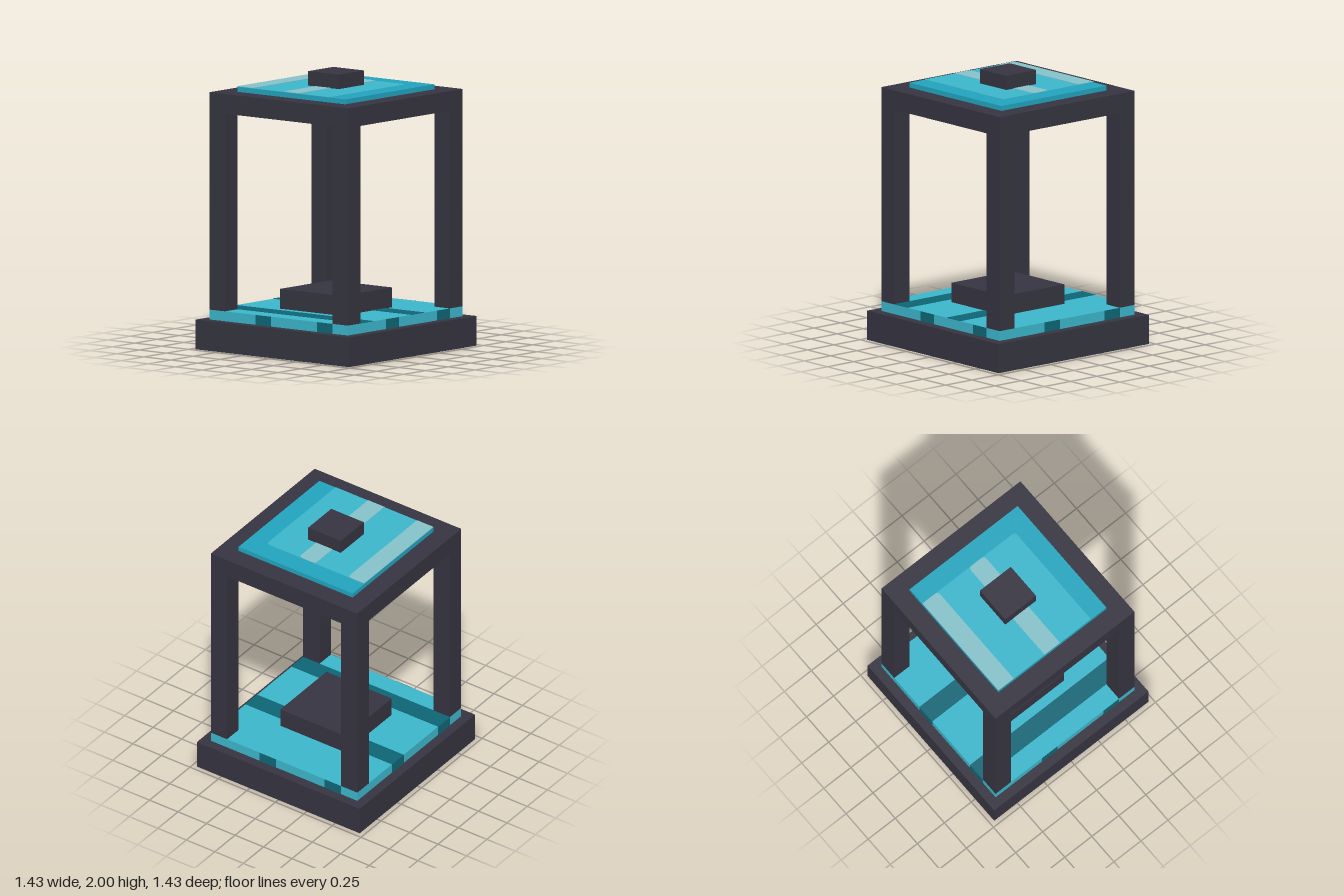
import * as THREE from 'three';

const mat = (name, color) => {
  const m = new THREE.MeshStandardMaterial({ color });
  m.name = name;
  return m;
};

export function createModel() {
  const frame = mat('dark frame', 0x353440);
  const teal = mat('teal', 0x3bb5ca);
  const deepTeal = mat('deep teal', 0x22a3bd);
  const darkTeal = mat('dark teal', 0x0f6575);
  const paleTeal = mat('pale teal', 0x86c1c9);

  const U = 1 / 14; // module unit that all parts are multiples of
  const SKIN = 0.003; // thickness of painted details
  const model = new THREE.Group();
  model.name = 'lantern';

  const add = (parent, name, geometry, material) => {
    const mesh = new THREE.Mesh(geometry, material);
    mesh.name = name;
    parent.add(mesh);
    return mesh;
  };
  // Box given by its two corners
  const box = (parent, name, material, x0, x1, y0, y1, z0, z1) => {
    const mesh = add(parent, name, new THREE.BoxGeometry(x1 - x0, y1 - y0, z1 - z0), material);
    mesh.position.set((x0 + x1) / 2, (y0 + y1) / 2, (z0 + z1) / 2);
    return mesh;
  };
  // Square block centred on the vertical axis
  const block = (name, material, half, y0, y1) =>
    box(model, name, material, -half, half, y0, y1, -half, half);

  // Base, floor plate, burner, knob
  block('base', frame, 10 * U, 0, 3 * U);
  block('floorPlate', teal, 9 * U, 3 * U, 4 * U);
  block('burner', frame, 4 * U, 4 * U, 6 * U);
  block('knob', frame, 2 * U, 26.5 * U, 28 * U);

  // Dark stripes across the floor
  for (const x of [-7, 1]) {
    box(model, 'floorStripe', darkTeal, x * U, (x + 2) * U, 4 * U, 4 * U + SKIN, -9 * U, 9 * U);
  }
  // Dark patches on the four floor edges
  for (let i = 0; i < 4; i++) {
    const side = new THREE.Group();
    side.name = 'floorEdge';
    side.rotation.y = i * Math.PI / 2;
    for (const x of [-3, 5]) {
      box(side, 'edgePatch', darkTeal, x * U, (x + 2) * U, 3 * U, 4 * U, 9 * U, 9 * U + SKIN);
    }
    model.add(side);
  }

  // Corner posts
  for (const x of [-8, 8]) {
    for (const z of [-8, 8]) {
      box(model, 'post', frame, (x - 1) * U, (x + 1) * U, 4 * U, 24 * U, (z - 1) * U, (z + 1) * U);
    }
  }

  // Top frame with a square opening
  const square = (Type, h) => {
    const p = new Type();
    p.moveTo(-h, -h).lineTo(h, -h).lineTo(h, h).lineTo(-h, h).closePath();
    return p;
  };
  const ring = square(THREE.Shape, 9 * U);
  ring.holes.push(square(THREE.Path, 7 * U));
  const ringGeo = new THREE.ExtrudeGeometry(ring, { depth: 2 * U, bevelEnabled: false });
  ringGeo.rotateX(-Math.PI / 2);
  add(model, 'topFrame', ringGeo, frame).position.y = 24 * U;

  // Lid pane
  block('lid', deepTeal, 7 * U, 26 * U, 26.5 * U);

  // Flat panel from the left edge, right corners optionally rounded
  const panel = (parent, name, material, z0, z1, y, roundBack) => {
    const x0 = -7 * U, x1 = 5 * U, r = 0.03, rb = roundBack ? r : 0;
    const s = new THREE.Shape();
    s.moveTo(x0, -z1).lineTo(x1 - r, -z1);
    s.quadraticCurveTo(x1, -z1, x1, -z1 + r);
    s.lineTo(x1, -z0 - rb);
    if (rb) s.quadraticCurveTo(x1, -z0, x1 - r, -z0);
    s.lineTo(x0, -z0);
    s.closePath();
    const g = new THREE.ExtrudeGeometry(s, { depth: SKIN, bevelEnabled: false, curveSegments: 4 });
    g.rotateX(-Math.PI / 2);
    add(parent, name, g, material).position.y = y;
  };

  // Painted glass pattern on both faces of the lid
  for (const flip of [0, Math.PI]) {
    const face = new THREE.Group();
    face.name = flip ? 'lidUnderside' : 'lidTop';
    face.position.y = 26.25 * U;
    face.rotation.x = flip;
    const y = 0.25 * U;
    panel(face, 'lidField', teal, -7 * U, 5 * U, y, false);
    panel(face, 'lidEdgeStripe', paleTeal, -7 * U, -5 * U, y + SKIN, false);
    panel(face, 'lidMiddleStripe', paleTeal, -U, U, y + SKIN, true);
    model.add(face);
  }

  return model;
}
